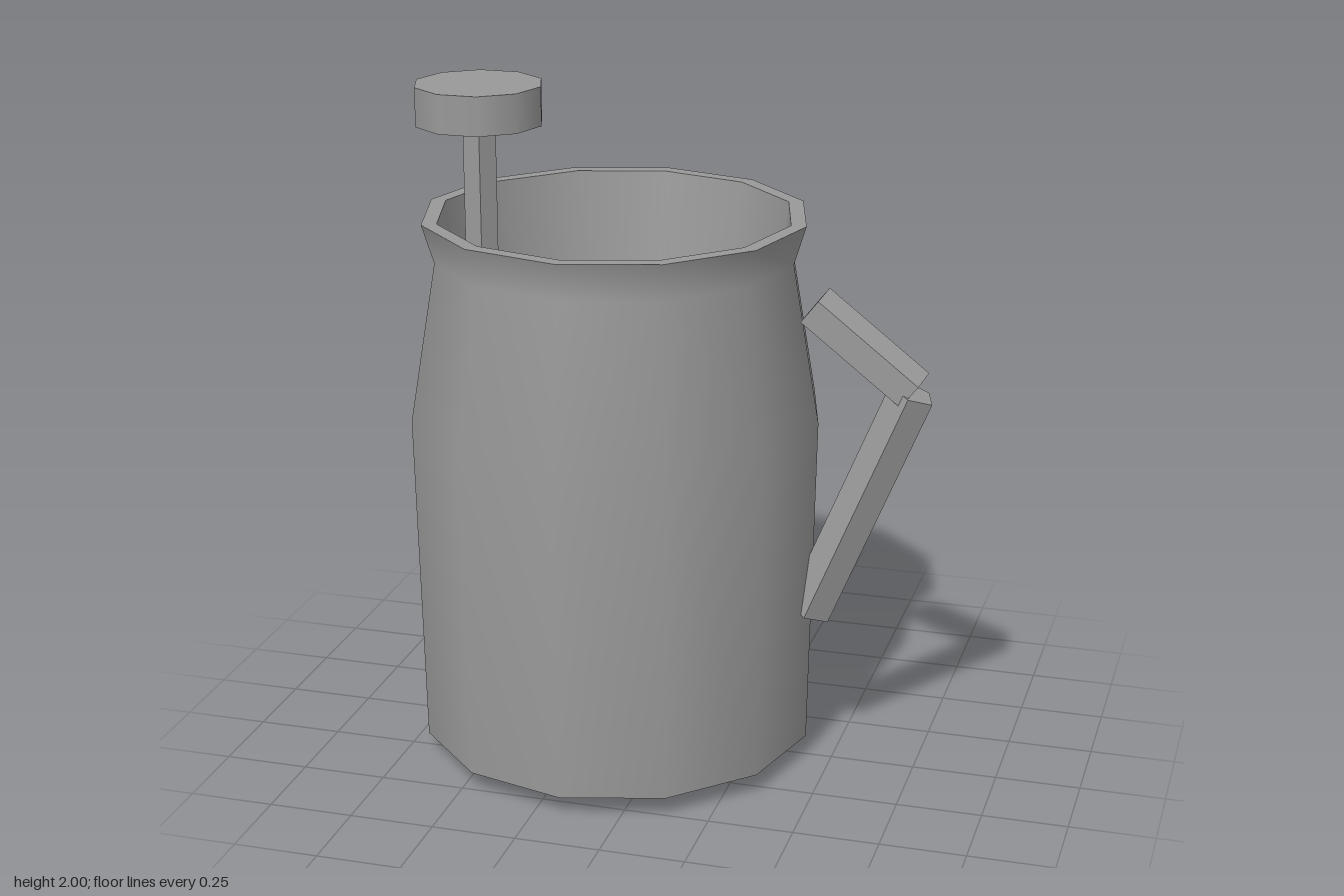
import * as THREE from 'three';
import { toCreasedNormals } from 'three/addons/utils/BufferGeometryUtils.js';

export function createModel() {
  const model = new THREE.Group();
  model.name = 'pitcher';
  const grey = new THREE.MeshStandardMaterial({ color: 0x999999 });
  grey.name = 'grey';

  const add = (parent, name, geometry) => {
    const mesh = new THREE.Mesh(geometry, grey);
    mesh.name = name;
    parent.add(mesh);
    return mesh;
  };

  // Twelve-sided vessel: each profile is smooth, with hard edges between them
  const vessel = new THREE.Group();
  vessel.name = 'vessel';
  vessel.position.x = -0.17;
  model.add(vessel);
  const profiles = {
    base: [[0, 0], [0.47, 0], [0.59, 0.06]],
    outerWall: [[0.59, 0.06], [0.61, 1.06], [0.53, 1.53], [0.565, 1.645]],
    rim: [[0.565, 1.645], [0.52, 1.645]],
    innerWall: [[0.52, 1.645], [0.32, 0.1]],
    floor: [[0.32, 0.1], [0, 0.1]],
  };
  for (const [name, points] of Object.entries(profiles)) {
    const profile = points.map(([r, y]) => new THREE.Vector2(r, y));
    add(vessel, name, new THREE.LatheGeometry(profile, 12));
  }

  // Five-sided bar between two points in the z = 0 plane
  const addBar = (name, radius, from, to, turn) => {
    const a = new THREE.Vector3(...from, 0);
    const b = new THREE.Vector3(...to, 0);
    const shape = new THREE.CylinderGeometry(radius, radius, a.distanceTo(b), 5, 1, false, turn);
    const bar = add(model, name, toCreasedNormals(shape, 0.9));
    bar.position.copy(a).add(b).multiplyScalar(0.5);
    bar.rotation.z = Math.atan2(a.x - b.x, b.y - a.y);
  };

  // Handle made of two bars meeting at the elbow
  addBar('upperHandle', 0.07, [0.714, 1.183], [0.42, 1.412], Math.PI);
  addBar('lowerHandle', 0.07, [0.423, 0.475], [0.713, 1.18], 0);

  // Plunger rod and its ten-sided knob
  addBar('plungerRod', 0.05, [-0.58, 0.7], [-0.58, 1.89], Math.PI / 2);
  const knob = new THREE.CylinderGeometry(0.19, 0.19, 0.115, 10, 1, false, Math.PI / 2);
  add(model, 'plungerKnob', knob).position.set(-0.58, 1.9425, 0);

  return model;
}
